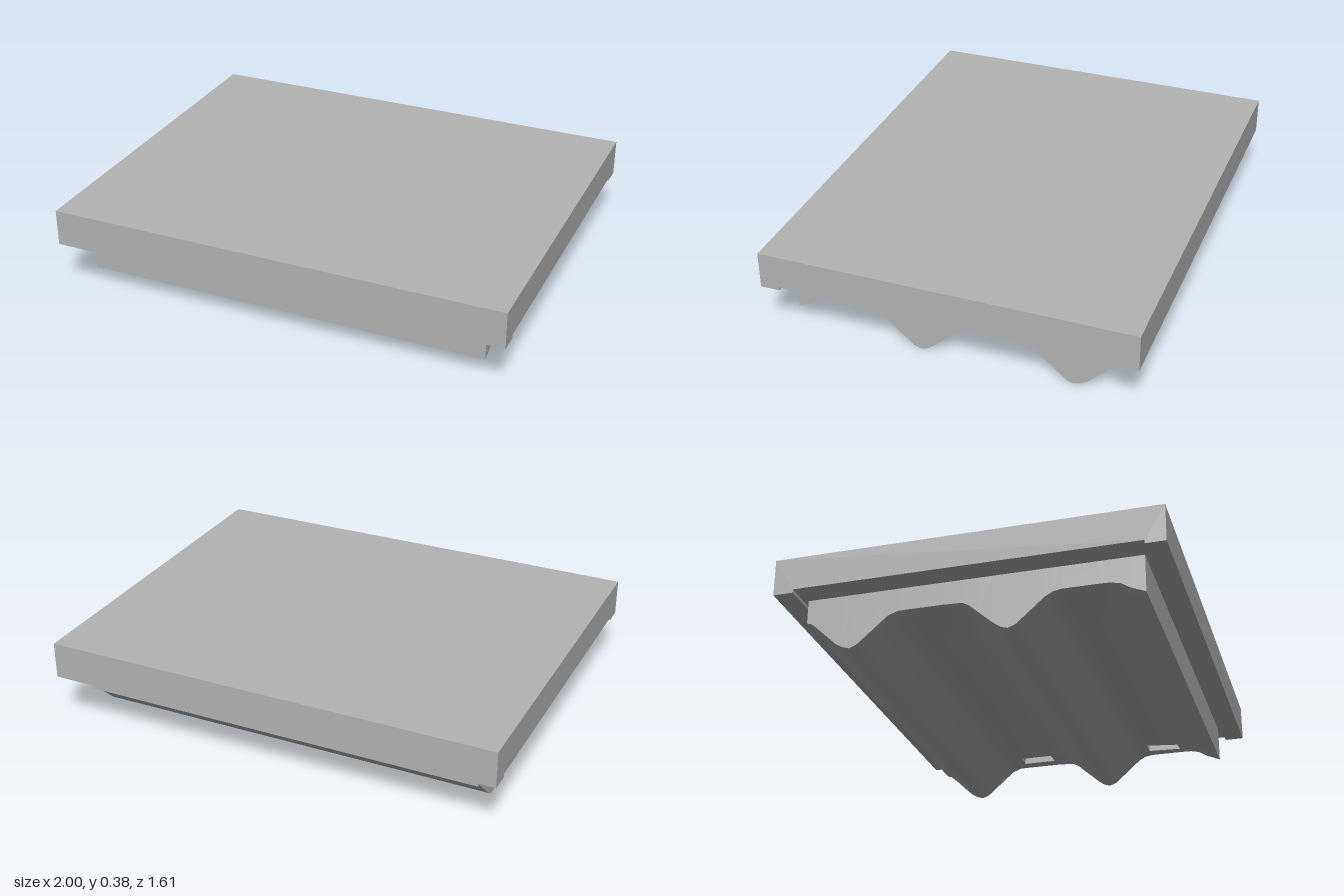
import * as THREE from 'three';
import { toCreasedNormals } from 'three/addons/utils/BufferGeometryUtils.js';

// Underside profile from front to back: [z, height mid-length, height at the ends]
const PROFILE = [
  [0.7, 0.08, 0.08], [0.64, 0.092, 0.105], [0.6, 0.1, 0.13], [0.56, 0.107, 0.139],
  [0.515, 0.115, 0.14], [0.365, 0.14, 0.14], [0.33, 0.133, 0.133], [0.3, 0.116, 0.116],
  [0.21, 0.037, 0.037], [0.18, 0.011, 0.011], [0.15, 0, 0], [0.12, 0.009, 0.009],
  [0.09, 0.027, 0.031], [0.03, 0.06, 0.085], [-0.01, 0.083, 0.122], [-0.04, 0.1, 0.137],
  [-0.12, 0.14, 0.14], [-0.27, 0.139, 0.14], [-0.31, 0.134, 0.139], [-0.35, 0.122, 0.124],
  [-0.45, 0.037, 0.037], [-0.48, 0.011, 0.011], [-0.51, 0, 0], [-0.54, 0.009, 0.009],
  [-0.57, 0.028, 0.028], [-0.65, 0.093, 0.105], [-0.68, 0.118, 0.131], [-0.7, 0.137, 0.137],
];
const STATIONS = [-0.89, -0.8, -0.6, 0.6, 0.765, 0.835, 0.89];
const BLOCK_TOP = 0.24;
const POCKET_TOP = 0.19;
const END_LENGTH = 0.28;

function waveBlockGeometry() {
  const positions = [];
  const quad = (a, b, c, d) => [a, b, c, a, c, d].forEach((p) => positions.push(...p));
  const wall = (a, b, top) => quad(a, b, [b[0], top, b[2]], [a[0], top, a[2]]);

  // Lofted underside: the profile blends to its raised form towards each end
  const grid = STATIONS.map((x) => {
    const blend = Math.max(0, 1 - (0.89 - Math.abs(x)) / END_LENGTH);
    return PROFILE.map(([z, mid, end]) => [x, mid + (end - mid) * blend, z]);
  });
  const nx = STATIONS.length - 1;
  const nz = PROFILE.length - 1;
  const isPocket = (i, j) => STATIONS[i] === 0.765 && (PROFILE[j][0] === 0.515 || PROFILE[j][0] === -0.12);

  for (let i = 0; i < nx; i++) {
    for (let j = 0; j < nz; j++) {
      const cell = [grid[i][j], grid[i][j + 1], grid[i + 1][j + 1], grid[i + 1][j]];
      if (!isPocket(i, j)) {
        quad(...cell);
        continue;
      }
      // Recessed pocket: four inner walls and a ceiling
      const [a, b, c, d] = cell;
      wall(a, b, POCKET_TOP);
      wall(b, c, POCKET_TOP);
      wall(c, d, POCKET_TOP);
      wall(d, a, POCKET_TOP);
      quad(...cell.map(([x, , z]) => [x, POCKET_TOP, z]));
    }
    // Front and back walls
    wall(grid[i][0], grid[i + 1][0], BLOCK_TOP);
    wall(grid[i + 1][nz], grid[i][nz], BLOCK_TOP);
  }
  // End walls
  for (let j = 0; j < nz; j++) {
    wall(grid[nx][j], grid[nx][j + 1], BLOCK_TOP);
    wall(grid[0][j + 1], grid[0][j], BLOCK_TOP);
  }

  const geometry = new THREE.BufferGeometry();
  geometry.setAttribute('position', new THREE.Float32BufferAttribute(positions, 3));
  return toCreasedNormals(geometry, 0.5);
}

export function createModel() {
  const group = new THREE.Group();
  group.name = 'pressMould';
  const grey = new THREE.MeshStandardMaterial({ color: 0xb3b3b3 });
  grey.name = 'mouldGrey';

  // Base plate with a shallow lip along its front and back edges
  const outline = new THREE.Shape([
    [-0.805, 0.225], [-0.72, 0.225], [-0.72, 0.24], [0.72, 0.24],
    [0.72, 0.225], [0.805, 0.225], [0.805, 0.385], [-0.805, 0.385],
  ].map(([z, y]) => new THREE.Vector2(z, y)));
  const plateGeometry = new THREE.ExtrudeGeometry(outline, { depth: 2, bevelEnabled: false });
  plateGeometry.translate(0, 0, -1).rotateY(Math.PI / 2);
  const plate = new THREE.Mesh(plateGeometry, grey);
  plate.name = 'basePlate';
  group.add(plate);

  // Wavy pressing block below the plate
  const block = new THREE.Mesh(waveBlockGeometry(), grey);
  block.name = 'waveBlock';
  group.add(block);

  return group;
}
